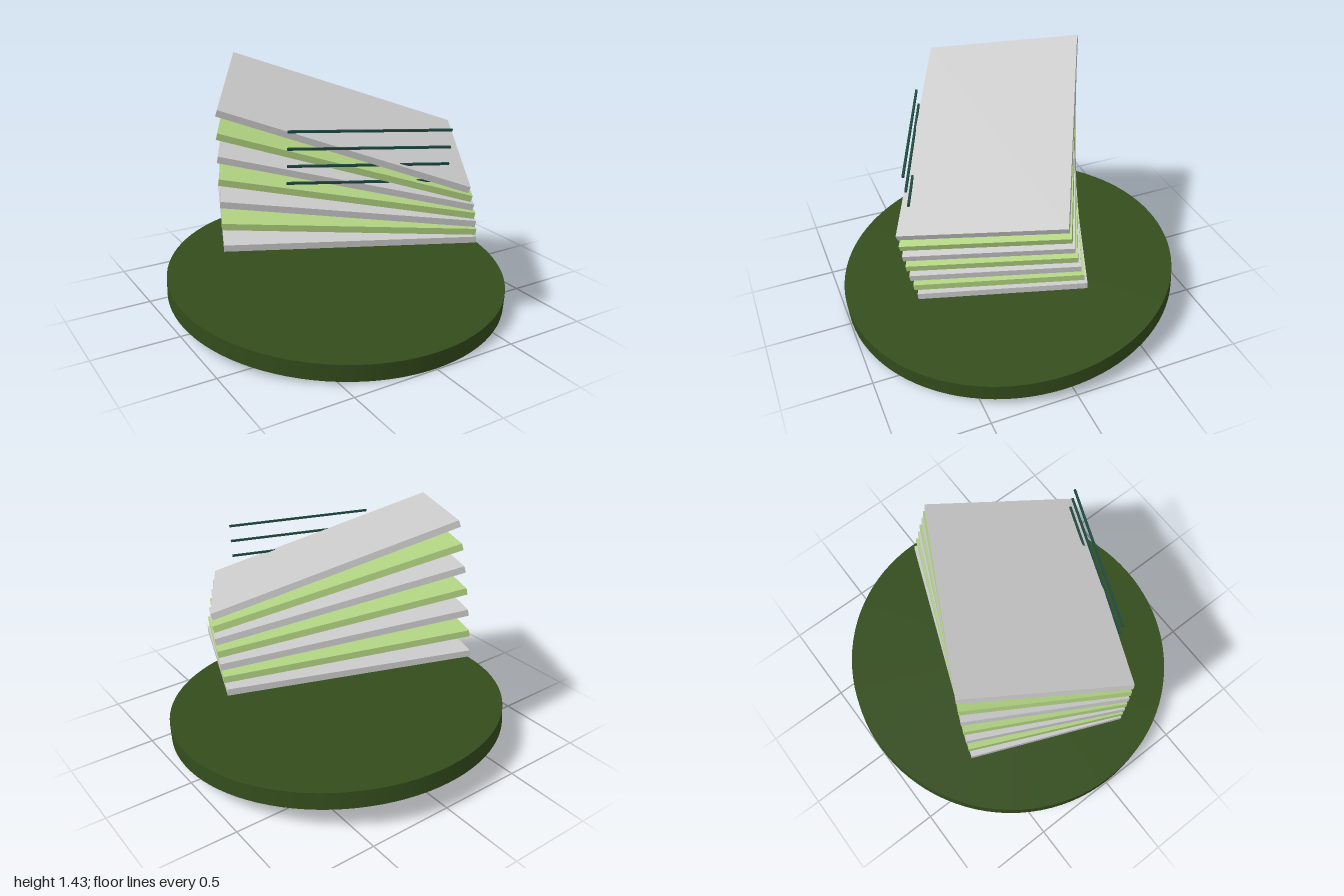
import * as THREE from 'three';

const DEG = Math.PI / 180;

function part(name, geometry, color, parent) {
  const mesh = new THREE.Mesh(geometry, new THREE.MeshStandardMaterial({ color }));
  mesh.name = name;
  parent.add(mesh);
  return mesh;
}

export function createModel() {
  const model = new THREE.Group();
  model.name = 'fannedStack';

  // Everything leans slightly toward the front
  const tilted = new THREE.Group();
  tilted.name = 'tiltedAssembly';
  tilted.position.y = 0.133;
  tilted.rotation.x = 0.0835;
  model.add(tilted);

  // Round base disc
  part('base', new THREE.CylinderGeometry(1, 1, 0.1, 96), 0x344d1c, tilted);

  // Seven plates, each turned a little further than the one below
  const plateGeometry = new THREE.BoxGeometry(1.37, 0.036, 0.892);
  for (let i = 0; i < 7; i++) {
    const t = i / 6;
    const plate = part(`plate${i + 1}`, plateGeometry, i % 2 ? 0xb2d482 : 0xcccccc, tilted);
    plate.position.y = 0.4335 + 0.093 * i;
    plate.rotation.set(5.6 * DEG * t, (-21.6 - 8.1 * t) * DEG, -13.6 * DEG * t);
  }

  // Four thin rods stacked along the front left edge
  const rodGeometry = new THREE.BoxGeometry(0.852, 0.012, 0.012);
  for (let i = 0; i < 4; i++) {
    const rod = part(`rod${i + 1}`, rodGeometry, 0x1f4a40, tilted);
    rod.position.set(-0.107, 0.7925 + 0.093 * i, 0.435);
    rod.rotation.y = -22 * DEG;
  }

  return model;
}
